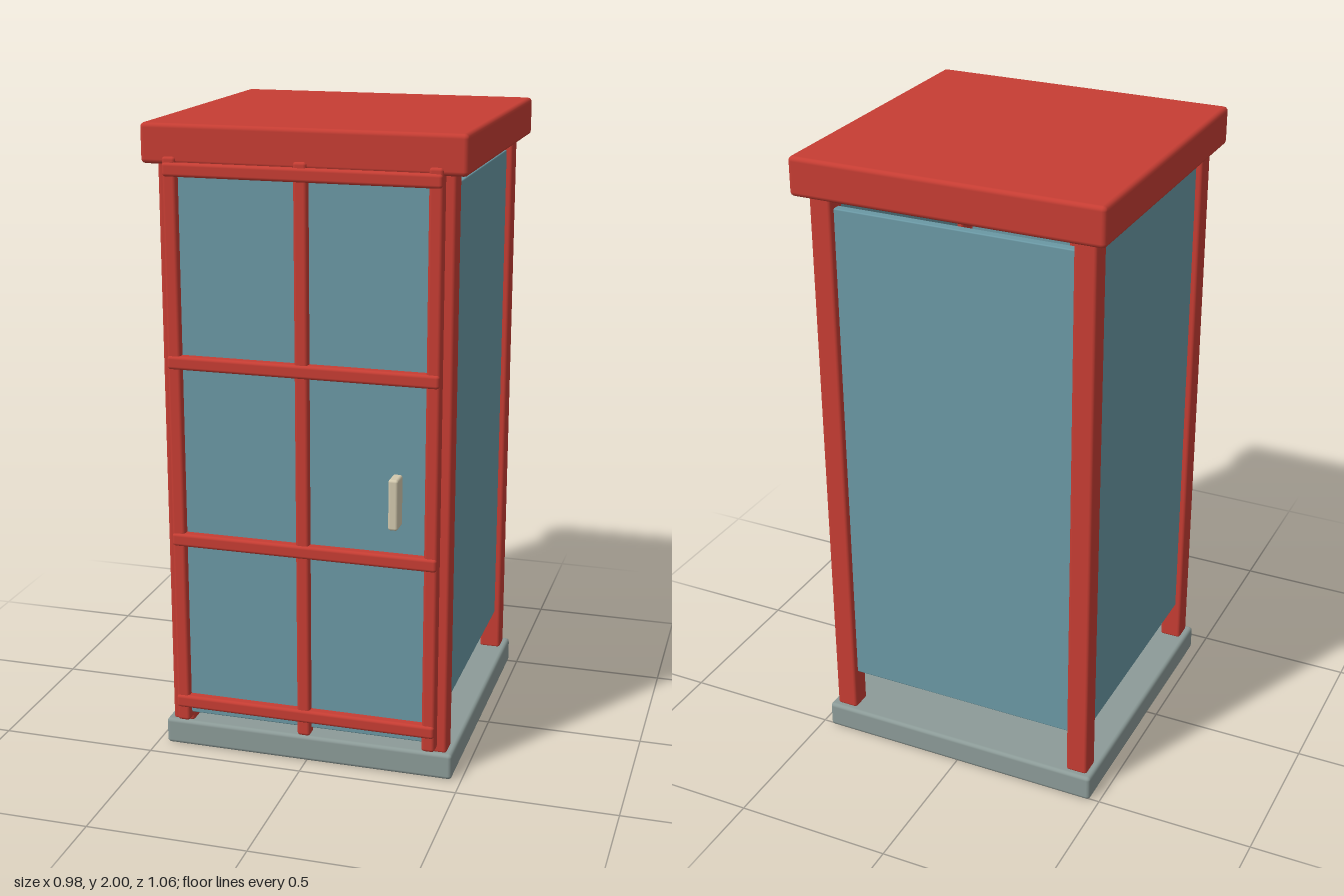
import * as THREE from 'three';
import { RoundedBoxGeometry } from 'three/addons/geometries/RoundedBoxGeometry.js';

const red = new THREE.MeshStandardMaterial({ color: 0xc63d33 });
const glass = new THREE.MeshStandardMaterial({ color: 0x6a98a4 });
const stone = new THREE.MeshStandardMaterial({ color: 0x8c9b98 });
const ivory = new THREE.MeshStandardMaterial({ color: 0xd2c8ad });

// Softly bevelled box given by its [min, max] range on each axis.
function block(name, material, [x0, x1], [y0, y1], [z0, z1], bevel) {
  const geometry = new RoundedBoxGeometry(x1 - x0, y1 - y0, z1 - z0, 2, bevel);
  const mesh = new THREE.Mesh(geometry, material);
  mesh.name = name;
  mesh.position.set((x0 + x1) / 2, (y0 + y1) / 2, (z0 + z1) / 2);
  return mesh;
}

export function createModel() {
  const booth = new THREE.Group();
  booth.name = 'booth';

  // Floor slab and roof
  booth.add(block('base', stone, [-0.47, 0.47], [0.005, 0.09], [-0.51, 0.43], 0.012));
  booth.add(block('roof', red, [-0.49, 0.49], [1.88, 2], [-0.53, 0.45], 0.014));

  // Corner posts
  const posts = new THREE.Group();
  posts.name = 'cornerPosts';
  for (const x of [-0.415, 0.415]) {
    for (const z of [-0.455, 0.38]) {
      posts.add(block('post', red, [x - 0.035, x + 0.035], [0.085, 1.885], [z - 0.035, z + 0.035], 0.01));
    }
  }
  booth.add(posts);

  // Side and back panes, set between the posts
  const paneY = [0.22, 1.84];
  booth.add(block('leftPane', glass, [0.4, 0.43], paneY, [-0.43, 0.355], 0.004));
  booth.add(block('rightPane', glass, [-0.43, -0.4], paneY, [-0.43, 0.355], 0.004));
  booth.add(block('backPane', glass, [-0.39, 0.39], paneY, [-0.47, -0.44], 0.004));

  // Door: pane, uprights, crossbars and handle
  const door = new THREE.Group();
  door.name = 'door';
  door.add(block('doorPane', glass, [-0.4, 0.4], [0.127, 1.87], [0.415, 0.435], 0.004));
  for (const x of [-0.4, 0, 0.4]) {
    door.add(block('upright', red, [x - 0.021, x + 0.021], [0.105, 1.905], [0.41, 0.457], 0.01));
  }
  for (const y of [0.173, 0.72, 1.286, 1.867]) {
    door.add(block('crossbar', red, [-0.42, 0.42], [y - 0.021, y + 0.021], [0.415, 0.463], 0.01));
  }
  door.add(block('handle', ivory, [0.287, 0.317], [0.845, 1.002], [0.467, 0.53], 0.008));
  booth.add(door);

  return booth;
}
